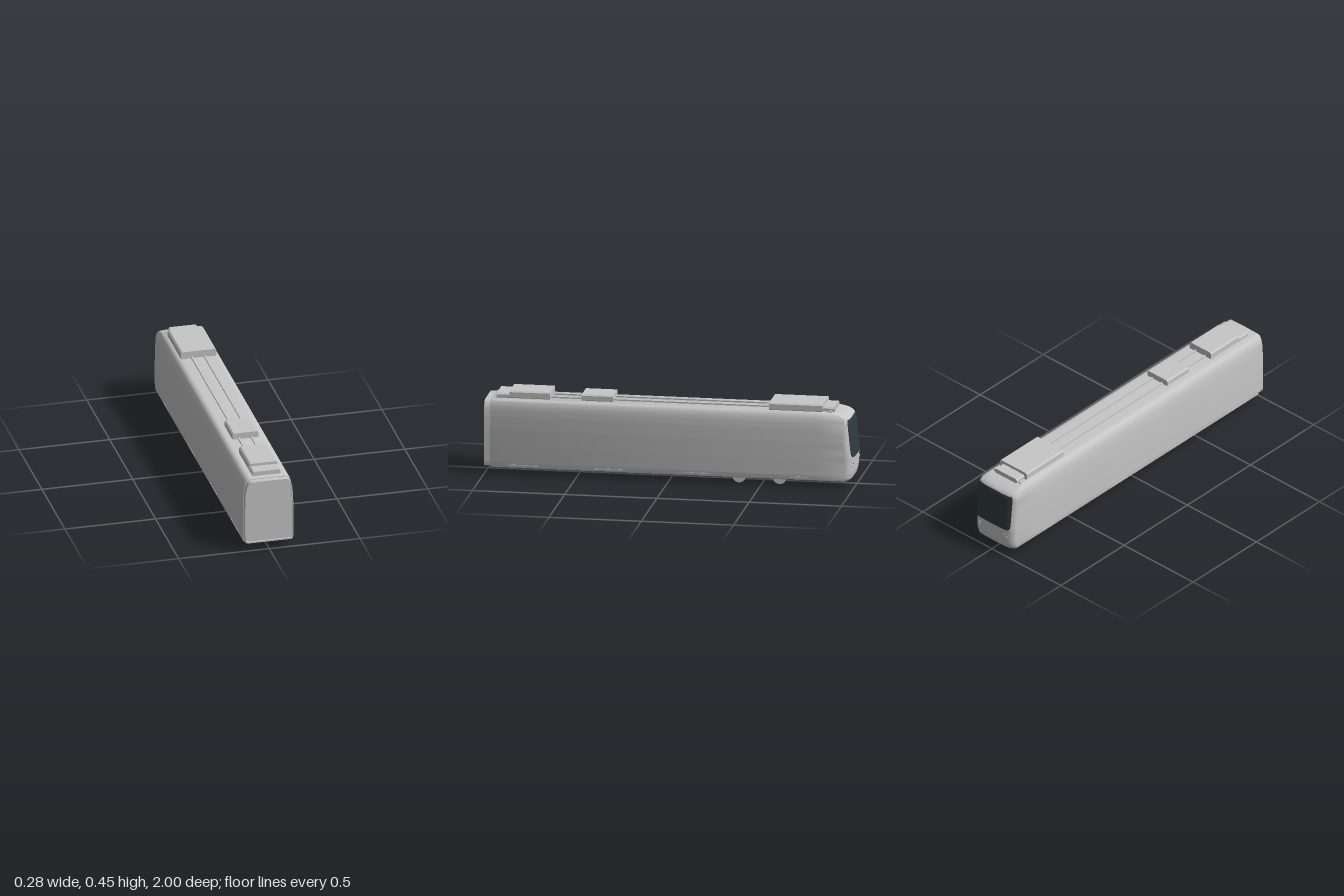
import * as THREE from 'three';
import { toCreasedNormals } from 'three/addons/utils/BufferGeometryUtils.js';

const grey = new THREE.MeshStandardMaterial({ color: 0xc6c6c6 });
grey.name = 'light grey paint';
const glass = new THREE.MeshStandardMaterial({ color: 0x303a40, side: THREE.DoubleSide });
glass.name = 'dark glass';

// Right half of the body cross-section, bottom centre to roof centre
const HALF = [[0, 0.037], [0.125, 0.037], [0.134, 0.042], [0.1372, 0.06], [0.138, 0.15], [0.1375, 0.25],
  [0.135, 0.32], [0.131, 0.36], [0.124, 0.387], [0.114, 0.402], [0.1, 0.409], [0, 0.411]];
// Cab profile: height and setback from the nose
const NOSE = [[0.035, 0.03], [0.05, 0.012], [0.08, 0.004], [0.17, 0], [0.36, 0.02], [0.38, 0.028],
  [0.39, 0.045], [0.4, 0.075], [0.411, 0.13]];
const MID = 0.2;

function lookup(table, v) {
  let i = 0;
  while (i < table.length - 2 && v > table[i + 1][0]) i++;
  const [a, b] = [table[i], table[i + 1]];
  return THREE.MathUtils.lerp(a[1], b[1], THREE.MathUtils.clamp((v - a[0]) / (b[0] - a[0]), 0, 1));
}

// Surface of the rounded cab end
function cabZ(x, y) {
  const u = THREE.MathUtils.clamp((Math.abs(x) - 0.085) / 0.053, 0, 1);
  return -1 + 0.045 * (1 - Math.sqrt(1 - u * u)) + lookup(NOSE, y) + 0.3 * x * x;
}

// Rows of equally many points joined into a surface
function surface(rows) {
  const n = rows[0].length, index = [];
  for (let k = 0; k < rows.length - 1; k++) {
    for (let i = 0; i < n - 1; i++) {
      const a = k * n + i, c = a + n;
      index.push(a, c, a + 1, a + 1, c, c + 1);
    }
  }
  const geo = new THREE.BufferGeometry();
  geo.setAttribute('position', new THREE.Float32BufferAttribute(rows.flat(2), 3));
  geo.setIndex(index);
  return toCreasedNormals(geo, 0.6);
}

function sectionLoop() {
  const outline = [...HALF, ...HALF.slice(0, -1).reverse().map(([x, y]) => [-x, y])];
  const points = [];
  for (let i = 0; i < outline.length - 1; i++) {
    const [a, b] = [outline[i], outline[i + 1]];
    const steps = Math.max(1, Math.round(Math.hypot(b[0] - a[0], b[1] - a[1]) / 0.012));
    for (let j = 0; j < steps; j++) {
      points.push([a[0] + (b[0] - a[0]) * j / steps, a[1] + (b[1] - a[1]) * j / steps]);
    }
  }
  points.push(outline[0]);
  return points;
}

export function createModel() {
  const model = new THREE.Group();
  const add = (name, geo, mat = grey, x = 0, y = 0, z = 0) => {
    const mesh = new THREE.Mesh(geo, mat);
    mesh.name = name;
    mesh.position.set(x, y, z);
    model.add(mesh);
    return mesh;
  };
  const box = (name, w, y0, y1, z0, z1, x = 0) =>
    add(name, new THREE.BoxGeometry(w, y1 - y0, z1 - z0), grey, x, (y0 + y1) / 2, (z0 + z1) / 2);

  // Body shell with closed coupling end and rounded cab
  const loop = sectionLoop();
  const ring = (s, zOf) => loop.map(([px, py]) => {
    const x = px * s, y = MID + (py - MID) * s;
    return [x, y, zOf(x, y)];
  });
  const rings = [ring(0.001, () => 0.965), ring(0.985, () => 0.965), ring(1, () => 0.96), ring(1, () => -0.8)];
  for (let k = 0; k <= 18; k++) rings.push(ring(Math.max(0.001, 1 - (k / 18) ** 2), cabZ));
  add('bodyShell', surface(rings));

  // Windscreen following the cab surface, corners drawn in slightly
  const rows = [];
  for (let j = 0; j <= 20; j++) {
    const t = j / 20, row = [];
    const y = 0.17 + 0.205 * t;
    const half = 0.121 - 0.008 * Math.abs(2 * t - 1) ** 12;
    for (let i = 0; i <= 24; i++) {
      const x = half * (i / 12 - 1);
      row.push([x, y, cabZ(x, y) - 0.004]);
    }
    rows.push(row);
  }
  add('windscreen', surface(rows.reverse()), glass);

  // Gangway frame and recessed end panel
  const outlineAt = (s) => loop.slice(0, -1).map(([x, y]) => new THREE.Vector2(x * s, 0.225 + (y - 0.225) * s));
  const extrude = (shape, depth) => new THREE.ExtrudeGeometry(shape, { depth, bevelEnabled: false });
  const frame = new THREE.Shape(outlineAt(0.965));
  frame.holes.push(new THREE.Path(outlineAt(0.925)));
  add('gangwayFrame', toCreasedNormals(extrude(frame, 0.035), 0.6), grey, 0, 0, 0.965);
  add('endPanel', extrude(new THREE.Shape(outlineAt(0.926)), 0.028), grey, 0, 0, 0.964);

  // Roof units with chamfered edges
  const roofUnit = (name, half, top, z0, z1, c = 0.008) => {
    const shape = new THREE.Shape([[-half + c, 0.405], [half - c, 0.405], [half, 0.405 + c], [half, top - c],
      [half - c, top], [-half + c, top], [-half, top - c], [-half, 0.405 + c]].map((p) => new THREE.Vector2(...p)));
    add(name, extrude(shape, z1 - z0), grey, 0, 0, z0);
  };
  roofUnit('cabRoofUnit', 0.098, 0.45, -0.83, -0.54);
  roofUnit('cabRoofStep', 0.08, 0.433, -0.89, -0.83);
  roofUnit('middleRoofUnit', 0.072, 0.445, 0.31, 0.48);
  roofUnit('endRoofUnit', 0.078, 0.45, 0.65, 0.87);
  roofUnit('endRoofStep', 0.078, 0.435, 0.87, 0.94);

  for (const side of [-1, 1]) {
    // Cable ducts and cab roof horns
    box('roofDuct', 0.012, 0.405, 0.418, -0.54, 0.31, side * 0.035);
    box('roofDuct', 0.012, 0.405, 0.418, 0.48, 0.65, side * 0.035);
    box('roofHorn', 0.016, 0.405, 0.416, -0.88, -0.86, side * 0.09);

    // Door thresholds
    for (const [z0, z1] of [[0.71, 0.87], [0.25, 0.4], [-0.23, -0.08], [-0.76, -0.66]]) {
      box('doorStep', 0.006, 0.052, 0.058, z0, z1, side * 0.1355);
    }

    // Headlamps flush with the cab
    for (const [x, y] of [[0.088, 0.135], [0.098, 0.12]]) {
      const lamp = add('headlamp', new THREE.CylinderGeometry(0.007, 0.007, 0.006, 16), grey, side * x, y, cabZ(x, y));
      lamp.rotation.x = Math.PI / 2;
    }

    // Wheels
    for (const z of [-0.375, -0.595]) {
      const wheel = add('wheel', new THREE.CylinderGeometry(0.033, 0.033, 0.011, 32), grey, side * 0.091, 0.036, z);
      wheel.rotation.z = Math.PI / 2;
      const flange = add('wheelFlange', new THREE.CylinderGeometry(0.036, 0.036, 0.003, 32), grey, side * 0.086, 0.036, z);
      flange.rotation.z = Math.PI / 2;
    }
  }

  // Bogie plate under the floor
  box('bogiePlate', 0.19, 0.033, 0.04, -0.6, -0.37);

  return model;
}
